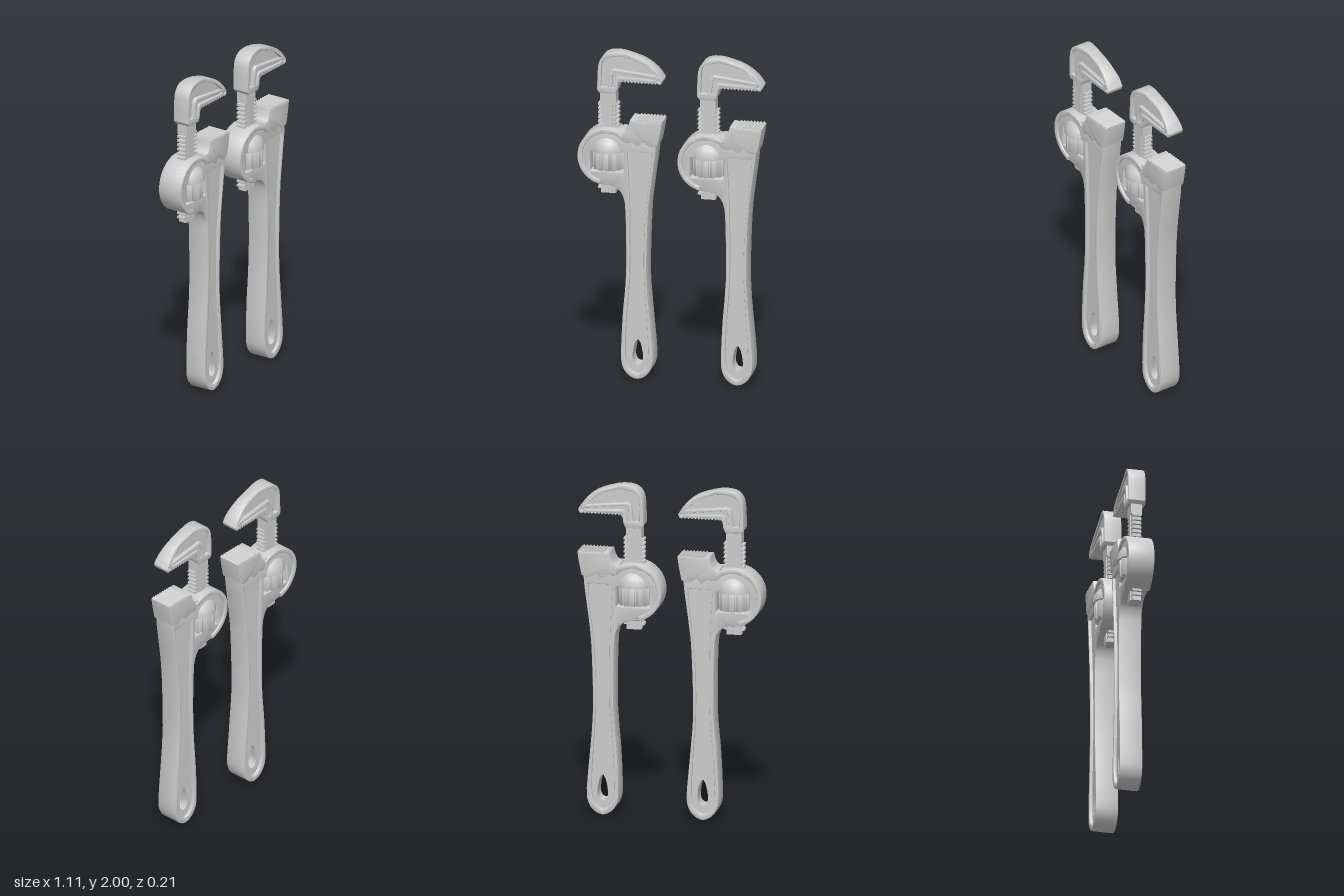
import * as THREE from 'three';
import { toCreasedNormals } from 'three/addons/utils/BufferGeometryUtils.js';

const material = new THREE.MeshStandardMaterial({ color: 0xcccccc });
const HEAD = { x: -0.378, y: 1.36, r: 0.175 };

// Joins smooth runs of points; corners stay sharp where runs meet
function outline(runs, detail) {
  const pts = [];
  for (const run of runs) {
    const v = run.map(([x, y]) => new THREE.Vector2(x, y));
    const list = v.length > 2 ? new THREE.SplineCurve(v).getPoints((v.length - 1) * detail) : v;
    for (const p of list) {
      if (!pts.length || pts[pts.length - 1].distanceTo(p) > 1e-4) pts.push(p);
    }
  }
  if (pts[0].distanceTo(pts[pts.length - 1]) < 1e-4) pts.pop();
  return pts;
}

function arc(r, from, to, n = 12) {
  return Array.from({ length: n + 1 }, (_, i) => {
    const a = THREE.MathUtils.degToRad(from + (to - from) * i / n);
    return [HEAD.x + r * Math.cos(a), HEAD.y + r * Math.sin(a)];
  });
}

// Outlines run anticlockwise and holes clockwise, so all walls face outward
function wound(pts, clockwise) {
  return THREE.ShapeUtils.isClockWise(pts) === clockwise ? pts : [...pts].reverse();
}

// Extrudes a flat outline to z = -half..half, with a bevel
function plate(pts, half, holes = [], bevel = 0.006) {
  const shape = new THREE.Shape(wound(pts, false));
  shape.holes = holes.map(h => new THREE.Path(wound(h, true)));
  const g = new THREE.ExtrudeGeometry(shape, {
    depth: 2 * (half - bevel), bevelEnabled: bevel > 0, bevelThickness: bevel,
    bevelSize: bevel, bevelOffset: -bevel, bevelSegments: 2,
  });
  return g.translate(0, 0, -half + bevel);
}

function add(group, name, geometry) {
  const mesh = new THREE.Mesh(toCreasedNormals(geometry, 0.6), material);
  mesh.name = name;
  group.add(mesh);
  return mesh;
}

// Strip of saw teeth from x0 to x1 at height y, standing up by h
function teeth(x0, x1, y, count, h, half) {
  const pts = [new THREE.Vector2(x0, y - h), new THREE.Vector2(x1, y - h)];
  const pitch = (x1 - x0) / count;
  for (let i = count; i > 0; i--) {
    pts.push(new THREE.Vector2(x0 + pitch * i, y), new THREE.Vector2(x0 + pitch * (i - 0.7), y + h));
  }
  pts.push(new THREE.Vector2(x0, y));
  return plate(pts, half, [], 0);
}

function makeBody(detail) {
  const g = new THREE.Group();
  g.name = 'body';
  const edge = outline([
    [[-0.08, 1.48], [-0.088, 1.38], [-0.112, 1.2], [-0.13, 1.02], [-0.14, 0.65], [-0.122, 0.39],
      [-0.102, 0.16], [-0.11, 0.075], [-0.145, 0.022], [-0.198, 0], [-0.25, 0.022],
      [-0.285, 0.075], [-0.293, 0.16], [-0.283, 0.39], [-0.263, 0.65], [-0.266, 1.0],
      [-0.281, 1.12], [-0.33, 1.176], arc(HEAD.r, 258, 250, 1)[0]],
    arc(HEAD.r, 256, 68, 10),
    [[-0.28, 1.51], [-0.24, 1.5]],
  ], detail);
  const panel = outline([
    [[-0.257, 1.4], [-0.108, 1.4]],
    [[-0.108, 1.4], [-0.115, 1.3], [-0.15, 0.97], [-0.156, 0.65], [-0.14, 0.39], [-0.13, 0.16],
      [-0.15, 0.07], [-0.198, 0.035], [-0.245, 0.07], [-0.267, 0.16], [-0.259, 0.39],
      [-0.24, 0.65], [-0.24, 1.02], [-0.248, 1.25], [-0.257, 1.4]],
  ], detail);
  const hangHole = outline([[[-0.195, 0.243], [-0.177, 0.215], [-0.163, 0.14], [-0.171, 0.098],
    [-0.195, 0.082], [-0.219, 0.098], [-0.227, 0.14], [-0.213, 0.215], [-0.195, 0.243]]], detail);
  const nutWindow = outline([[[-0.478, 1.268], [-0.278, 1.268]], [[-0.278, 1.392], [-0.478, 1.392]]], 1);
  add(g, 'handleFrame', plate(edge, 0.068, [panel, nutWindow], 0.005));

  // Recessed web of the handle with its hanging hole
  add(g, 'handleWeb', plate(panel, 0.05, [hangHole], 0));

  // Raised rim round the housing
  const rim = outline([arc(HEAD.r, 55, 256, 10), arc(0.146, 256, 50, 10)], detail);
  add(g, 'housingRim', plate(rim, 0.079));

  // Dome over the nut
  const dome = [[0, 0], [0.106, 0], [0.106, 0.008], [0.103, 0.03], [0.093, 0.06],
    [0.07, 0.088], [0.035, 0.102], [0, 0.106]].map(([x, y]) => new THREE.Vector2(x, y));
  add(g, 'nutDome', new THREE.LatheGeometry(dome, 8 * detail)).position.set(HEAD.x, 1.387, 0);

  // Heel jaw with a wavy lower edge and a toothed top
  const heel = outline([
    [[-0.047, 1.592], [-0.055, 1.535], [-0.072, 1.45]],
    [[-0.072, 1.45], [-0.11, 1.438], [-0.135, 1.45], [-0.16, 1.462], [-0.19, 1.438],
      [-0.225, 1.46], [-0.265, 1.455], [-0.3, 1.475]],
    [[-0.3, 1.525], [-0.27, 1.527], [-0.25, 1.555], [-0.238, 1.597]],
    [[-0.2, 1.592], [-0.047, 1.592]],
  ], detail);
  add(g, 'heelJaw', plate(heel, 0.072, [], 0.003));
  add(g, 'heelTeeth', teeth(-0.205, -0.048, 1.591, 8, 0.01, 0.07));
  return g;
}

function makeHook(detail) {
  const g = new THREE.Group();
  g.name = 'hookJaw';
  const edge = outline([
    [[-0.047, 1.845], [-0.085, 1.9], [-0.15, 1.953], [-0.23, 1.984], [-0.31, 1.999],
      [-0.385, 1.987], [-0.425, 1.945], [-0.437, 1.88], [-0.44, 1.765]],
    [[-0.425, 1.745], [-0.332, 1.745]],
    [[-0.332, 1.745], [-0.318, 1.775], [-0.312, 1.81], [-0.29, 1.83]],
    [[-0.085, 1.83], [-0.075, 1.822], [-0.056, 1.823], [-0.047, 1.845]],
  ], detail);
  // Crescent pocket, slot beside the rib, and the pin hole at the tip
  const crescent = outline([
    [[-0.417, 1.785], [-0.412, 1.92], [-0.385, 1.96], [-0.31, 1.975], [-0.23, 1.96],
      [-0.15, 1.925], [-0.09, 1.87]],
    [[-0.34, 1.9], [-0.362, 1.885], [-0.37, 1.855], [-0.378, 1.785]],
  ], detail);
  const slot = outline([
    [[-0.332, 1.88], [-0.095, 1.853]], [[-0.105, 1.845], [-0.31, 1.855]],
    [[-0.31, 1.855], [-0.33, 1.84], [-0.338, 1.785]], [[-0.352, 1.785], [-0.347, 1.86]],
  ], detail);
  const pin = Array.from({ length: 8 }, (_, i) =>
    new THREE.Vector2(-0.067 + 0.007 * Math.cos(i * Math.PI / 4), 1.843 + 0.007 * Math.sin(i * Math.PI / 4)));
  const hook = plate(edge, 0.052, [crescent, slot, pin], 0.004);
  // Narrow the crown between the heel of the hook and its tip
  const pos = hook.attributes.position;
  for (let i = 0; i < pos.count; i++) {
    const s = THREE.MathUtils.smoothstep(pos.getY(i), 1.86, 1.98)
      * THREE.MathUtils.smoothstep(pos.getX(i), -0.42, -0.24);
    pos.setZ(i, pos.getZ(i) * (1 - 0.28 * s));
  }
  add(g, 'hook', hook);
  add(g, 'hookWebCrescent', plate(crescent, 0.03, [], 0));
  add(g, 'hookWebSlot', plate(slot, 0.04, [], 0));
  const bite = teeth(0.082, 0.305, -1.829, 11, 0.01, 0.05);
  add(g, 'hookTeeth', bite.rotateZ(Math.PI));

  // Threaded shank
  const box = (name, w, y0, y1, d) =>
    add(g, name, new THREE.BoxGeometry(w, y1 - y0, d)).position.set(HEAD.x, (y0 + y1) / 2, 0);
  box('shankNeck', 0.095, 1.68, 1.77, 0.066);
  box('shankCore', 0.088, 1.125, 1.7, 0.05);
  for (const s of [-1, 1]) {
    const rib = add(g, 'shankRib', new THREE.BoxGeometry(0.048, 0.56, 0.008));
    rib.position.set(HEAD.x, 1.41, s * 0.029);
  }
  for (let y = 1.16; y < 1.69; y += 0.027) {
    const tooth = add(g, 'thread', new THREE.BoxGeometry(0.124, 0.013, 0.054));
    tooth.position.set(HEAD.x, y, 0);
    tooth.rotation.z = 0.04;
  }
  return g;
}

// Ridged adjusting nut
function makeNut() {
  const g = new THREE.Group();
  g.name = 'adjustingNut';
  const pts = [], count = 14;
  for (let i = 0; i < count; i++) {
    for (const [t, r] of [[0, 0.083], [0.22, 0.083], [0.3, 0.096], [0.92, 0.096]]) {
      const a = (i + t) / count * Math.PI * 2;
      pts.push(new THREE.Vector2(r * Math.cos(a), r * Math.sin(a)));
    }
  }
  const nut = plate(pts, 0.055, [], 0.003).rotateX(-Math.PI / 2);
  add(g, 'knurl', nut).position.set(HEAD.x, 1.332, 0);
  return g;
}

export function createModel() {
  const model = new THREE.Group();
  model.name = 'pipeWrenches';
  // A fine wrench and a coarser twin beside it
  [[0, 5], [0.6, 2]].forEach(([x, detail], i) => {
    const wrench = new THREE.Group();
    wrench.name = i ? 'coarseWrench' : 'fineWrench';
    wrench.add(makeBody(detail), makeHook(detail), makeNut());
    wrench.position.x = x;
    model.add(wrench);
  });
  return model;
}
